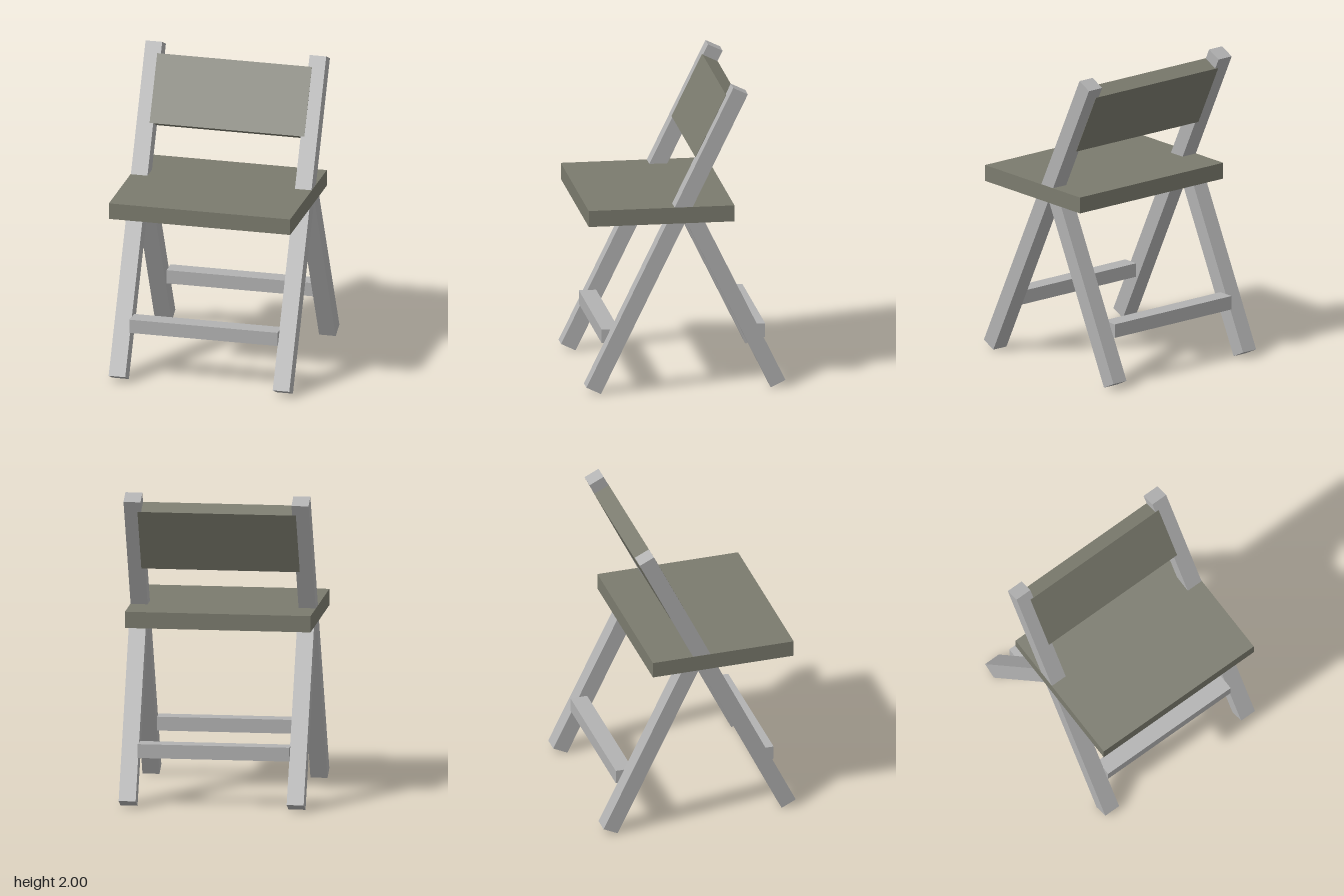
import * as THREE from 'three';

export function createModel() {
  const group = new THREE.Group();
  const frameGrey = new THREE.MeshStandardMaterial({ color: 0xb2b2b2 });
  frameGrey.name = 'frame grey';
  const seatOlive = new THREE.MeshStandardMaterial({ color: 0x7b7b6e });
  seatOlive.name = 'seat olive';

  const LEAN = Math.atan2(0.951, 1.949); // lean of legs and backrest
  const SLOPE = Math.tan(LEAN);
  const BAR = 0.105; // leg depth
  const FOOT = { y: 0.025, z: 0.598 }; // centre of a foot

  function box(name, material, size, position, lean = 0) {
    const mesh = new THREE.Mesh(new THREE.BoxGeometry(...size), material);
    mesh.name = name;
    mesh.position.set(...position);
    mesh.rotation.x = lean;
    group.add(mesh);
    return mesh;
  }

  // A leg rising from its foot to topY; facing is 1 for front, -1 for rear
  function leg(name, x, facing, topY) {
    const rise = topY - FOOT.y;
    const z = facing * (FOOT.z - (rise / 2) * SLOPE);
    box(name, frameGrey, [0.11, rise / Math.cos(LEAN), BAR],
      [x, FOOT.y + rise / 2, z], -facing * LEAN);
  }

  // Long front legs carry the backrest, short rear legs end inside the seat
  for (const [side, x] of [['left', 0.543], ['right', -0.543]]) {
    leg(side + 'FrontLeg', x, 1, 1.977);
    leg(side + 'RearLeg', x, -1, 1.16);
  }

  // Cross rungs between the legs
  box('frontRung', frameGrey, [0.98, 0.09, 0.112], [0, 0.355, 0.474]);
  box('rearRung', frameGrey, [0.98, 0.09, 0.112], [0, 0.355, -0.474]);

  // Seat, a hair wider than the legs
  box('seat', seatOlive, [1.2, 0.106, 0.945], [0, 1.168, 0.158]);

  // Backrest, let into the legs and a hair thicker than them
  const backY = 1.706;
  box('backrest', seatOlive, [1.024, 0.452, BAR + 0.004],
    [0, backY, FOOT.z - (backY - FOOT.y) * SLOPE], -LEAN);

  return group;
}
